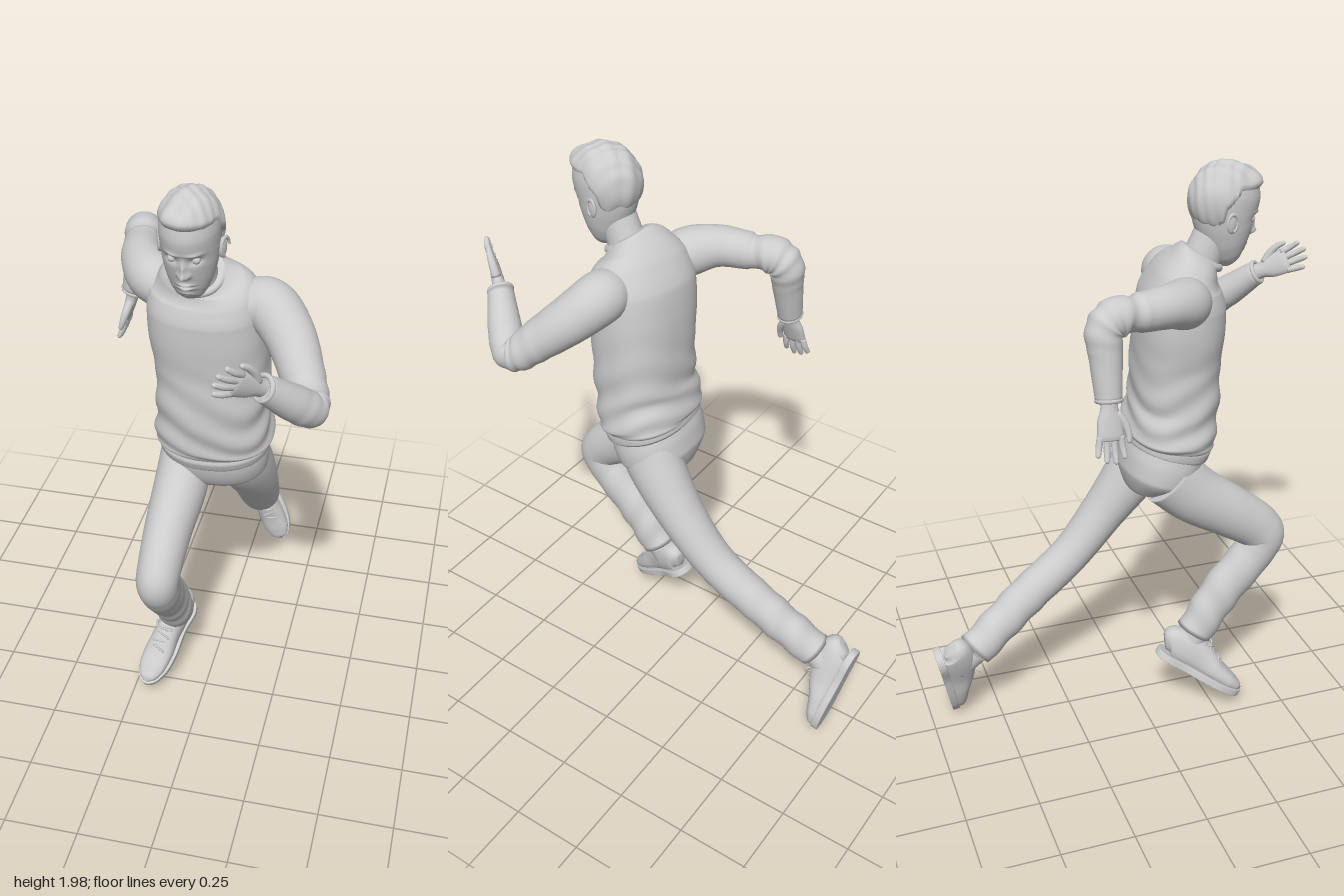
import * as THREE from 'three';

const material = new THREE.MeshStandardMaterial({ color: 0xcccccc, roughness: 0.8 });
const V = (a) => new THREE.Vector3(...a);

function mesh(name, geometry, parent) {
  const m = new THREE.Mesh(geometry, material);
  m.name = name;
  parent.add(m);
  return m;
}

// Smooth skin over elliptical sections; a row is [x, y, z, halfWidth, halfDepth].
// side gives the width direction, sideEnd its value at the far end,
// fold(u, angle) adds cloth ripples and power < 1 squares the section.
function loft(rows, { side = [1, 0, 0], sideEnd = side, steps = 40, segs = 32, power = 1, fold = () => 0 } = {}) {
  const path = new THREE.CatmullRomCurve3(rows.map((r) => V(r.slice(0, 3))));
  const size = new THREE.CatmullRomCurve3(rows.map((r) => new THREE.Vector3(r[3], r[4] ?? r[3], 0)));
  const pos = [], index = [];
  const round = (v) => Math.sign(v) * Math.abs(v) ** power;
  for (let i = 0; i <= steps; i++) {
    const u = i / steps, c = path.getPoint(u), r = size.getPoint(u), t = path.getTangent(u);
    const s = V(side).lerp(V(sideEnd), u);
    s.addScaledVector(t, -s.dot(t)).normalize();
    const f = s.clone().cross(t);
    for (let j = 0; j < segs; j++) {
      const a = (j / segs) * Math.PI * 2, k = fold(u, a);
      const p = c.clone().addScaledVector(s, (r.x + k) * round(Math.cos(a))).addScaledVector(f, (r.y + k) * round(Math.sin(a)));
      pos.push(p.x, p.y, p.z);
      if (i < steps) {
        const A = i * segs + j, B = i * segs + ((j + 1) % segs);
        index.push(A, A + segs, B, B, A + segs, B + segs);
      }
    }
  }
  const first = pos.length / 3, last = steps * segs;
  pos.push(...rows[0].slice(0, 3), ...rows[rows.length - 1].slice(0, 3));
  for (let j = 0; j < segs; j++) {
    const n = (j + 1) % segs;
    index.push(first, j, n, first + 1, last + n, last + j);
  }
  const g = new THREE.BufferGeometry();
  g.setAttribute('position', new THREE.Float32BufferAttribute(pos, 3));
  g.setIndex(index);
  g.computeVertexNormals();
  return g;
}

// Moves every vertex by a rule and refreshes the normals
function deform(g, rule) {
  const p = g.attributes.position, v = new THREE.Vector3();
  for (let i = 0; i < p.count; i++) {
    rule(v.fromBufferAttribute(p, i));
    p.setXYZ(i, v.x, v.y, v.z);
  }
  g.computeVertexNormals();
  return g;
}

// Puts a group at a point with its +z along main and its +y near hint
function place(group, at, main, hint) {
  const z = V(main).normalize(), x = V(hint).cross(z).normalize();
  group.quaternion.setFromRotationMatrix(new THREE.Matrix4().makeBasis(x, z.clone().cross(x), z));
  group.position.set(...at);
}

// Hand: fingers along +z, thumb on +y
function makeHand(name) {
  const hand = new THREE.Group();
  hand.name = name;
  const opt = { side: [0, 1, 0], steps: 16, segs: 14 };
  mesh('palm', loft([[0, 0, -0.05, 0.03, 0.026], [0, 0, 0, 0.028, 0.022], [0, 0, 0.04, 0.04, 0.019],
    [0, 0, 0.09, 0.043, 0.015], [0, 0, 0.105, 0.036, 0.01]], opt), hand);
  [0.075, 0.09, 0.085, 0.065].forEach((len, i) => {
    const y = 0.033 - 0.022 * i, z = 0.09;
    mesh('finger', loft([[0, y, z, 0.011], [0.004, y * 1.15, z + len * 0.5, 0.0105],
      [0, y * 1.3, z + len * 0.93, 0.008], [0, y * 1.32, z + len, 0.002]], opt), hand);
  });
  mesh('thumb', loft([[0, 0.02, 0.02, 0.016], [0, 0.045, 0.05, 0.014], [0, 0.058, 0.085, 0.011],
    [0, 0.06, 0.112, 0.008], [0, 0.06, 0.118, 0.002]], opt), hand);
  return hand;
}

// Laced shoe: toe along +z, sole on y = 0
function makeShoe(name) {
  const shoe = new THREE.Group();
  shoe.name = name;
  const half = [[0.03, -0.13], [0.046, -0.1], [0.044, -0.02], [0.054, 0.07], [0.052, 0.14], [0.03, 0.195]];
  const outline = [[0, -0.14], ...half, [0, 0.212], ...half.map(([x, z]) => [-x, z]).reverse()];
  const curve = new THREE.CatmullRomCurve3(outline.map(([x, z]) => new THREE.Vector3(x, z, 0)), true);
  const shape = new THREE.Shape(curve.getPoints(60).slice(0, -1).map((p) => new THREE.Vector2(p.x, p.y)));
  const sole = new THREE.ExtrudeGeometry(shape, { depth: 0.02, bevelEnabled: true, bevelSize: 0.003, bevelThickness: 0.003, bevelSegments: 2 });
  mesh('sole', sole.rotateX(Math.PI / 2).translate(0, 0.024, 0), shoe);
  mesh('upper', loft([[0, 0.055, -0.135, 0.02, 0.03], [0, 0.07, -0.115, 0.042, 0.056], [0, 0.074, -0.06, 0.047, 0.064],
    [0, 0.065, 0.02, 0.046, 0.054], [0, 0.05, 0.09, 0.052, 0.037], [0, 0.04, 0.15, 0.048, 0.028],
    [0, 0.033, 0.19, 0.031, 0.019], [0, 0.03, 0.207, 0.008, 0.006]], { power: 0.85 }), shoe);
  for (let i = 0; i < 4; i++) {
    const z = 0.015 + i * 0.024, y = 0.121 - i * 0.0105, d = i % 2 ? 0.008 : -0.008;
    const lace = new THREE.CatmullRomCurve3([V([-0.036, y - 0.025, z - d]), V([-0.018, y, z - d / 2]), V([0.018, y, z + d / 2]), V([0.036, y - 0.025, z + d])]);
    mesh('lace', new THREE.TubeGeometry(lace, 12, 0.004, 6), shoe);
  }
  for (const s of [-1, 1]) {
    const bow = mesh('laceLoop', new THREE.TorusGeometry(0.014, 0.003, 6, 16), shoe);
    bow.position.set(s * 0.018, 0.124, 0.012);
    bow.rotation.set(1.2, s * 0.5, 0);
    bow.scale.x = 1.4;
  }
  return shoe;
}

function makeHead() {
  const head = new THREE.Group();
  head.name = 'head';
  const skull = loft([[0, -0.162, 0.068, 0.012, 0.012], [0, -0.155, 0.06, 0.036, 0.035], [0, -0.135, 0.045, 0.054, 0.058],
    [0, -0.1, 0.028, 0.07, 0.077], [0, -0.05, 0.012, 0.082, 0.096], [0, 0, 0, 0.088, 0.109], [0, 0.05, -0.003, 0.09, 0.113],
    [0, 0.1, -0.006, 0.082, 0.1], [0, 0.135, -0.01, 0.055, 0.07], [0, 0.148, -0.01, 0.01, 0.01]], { steps: 90, segs: 96 });
  // Face relief as soft pushes: x, y, spread x, spread y, depth
  const relief = [[0, -0.052, 0.011, 0.012, 0.024], [0, -0.028, 0.008, 0.02, 0.014], [0.013, -0.056, 0.007, 0.007, 0.01],
    [-0.013, -0.056, 0.007, 0.007, 0.01], [0.036, -0.006, 0.017, 0.011, -0.012], [-0.036, -0.006, 0.017, 0.011, -0.012],
    [0.035, 0.018, 0.022, 0.006, 0.005], [-0.035, 0.018, 0.022, 0.006, 0.005], [0, -0.093, 0.02, 0.005, 0.009],
    [0, -0.109, 0.018, 0.005, 0.009], [0, -0.101, 0.024, 0.003, -0.004], [0, -0.14, 0.02, 0.012, 0.006]];
  mesh('face', deform(skull, (v) => {
    if (v.z < 0.03) return;
    const { x, y } = v;
    for (const [cx, cy, sx, sy, d] of relief) v.z += d * Math.exp(-(((x - cx) / sx) ** 2) - ((y - cy) / sy) ** 2);
  }), head);
  // Hair shell: sinks into the skull below the hairline, ripples along the swept strands
  mesh('hair', deform(new THREE.SphereGeometry(1, 80, 60), (v) => {
    const { x, y, z } = v;
    const hairline = z > 0.1 ? 0.34 + 0.12 * z : z > -0.2 ? -0.2 + (z + 0.2) * 1.5 : -0.75;
    const cover = THREE.MathUtils.smoothstep(y, hairline - 0.08, hairline + 0.14);
    const strand = 0.018 * Math.sin(9 * x + 7 * z + 3 * y) + 0.012 * Math.sin(17 * z - 11 * x + 8 * y);
    const quiff = 0.12 * Math.exp(-(((z - 0.75) / 0.35) ** 2) - ((y - 0.65) / 0.3) ** 2);
    v.multiplyScalar(0.84 + cover * (0.17 + strand + quiff));
    v.set(v.x * 0.099, v.y * 0.122 + 0.04, v.z * 0.121 - 0.006);
  }), head);
  for (const s of [-1, 1]) {
    mesh('eye', new THREE.SphereGeometry(0.013, 20, 14).translate(s * 0.036, -0.006, 0.084), head);
    const ear = mesh('ear', new THREE.SphereGeometry(1, 20, 16), head);
    ear.scale.set(0.009, 0.033, 0.02);
    ear.position.set(s * 0.092, -0.02, -0.005);
    ear.rotation.set(-0.2, s * -0.35, 0);
    const rim = mesh('earRim', new THREE.TorusGeometry(0.021, 0.005, 8, 24, 4.6), head);
    rim.position.set(s * 0.099, -0.018, -0.007);
    rim.rotation.set(-0.2, Math.PI / 2 - s * 0.35, 0);
    rim.scale.y = 1.35;
  }
  head.position.set(-0.018, 1.845, 0.3);
  head.rotation.x = 0.2;
  return head;
}

export function createModel() {
  const runner = new THREE.Group();
  runner.name = 'runner';

  // Sweater, hem and collar, with the shoulders turned against the hips
  const twist = { side: [1, 0, -0.05], sideEnd: [1, 0, 0.3] };
  mesh('sweater', loft([[0.01, 1.055, 0.12, 0.178, 0.138], [0.01, 1.09, 0.126, 0.197, 0.153], [0.01, 1.2, 0.145, 0.184, 0.147],
    [0.01, 1.35, 0.15, 0.184, 0.146], [0, 1.48, 0.158, 0.192, 0.148], [-0.005, 1.57, 0.165, 0.19, 0.143],
    [-0.01, 1.64, 0.18, 0.172, 0.115], [-0.015, 1.685, 0.2, 0.128, 0.085], [-0.015, 1.715, 0.22, 0.072, 0.068]],
  { ...twist, steps: 80, segs: 72, power: 0.85,
    fold: (u, a) => 0.005 * Math.exp(-(((u - 0.22) / 0.14) ** 2)) * Math.sin(u * 60 + 3 * Math.sin(a * 2)) }), runner);
  mesh('sweaterHem', loft([[0.01, 1.03, 0.112, 0.174, 0.136], [0.01, 1.04, 0.115, 0.184, 0.145], [0.01, 1.065, 0.122, 0.187, 0.148],
    [0.01, 1.085, 0.128, 0.18, 0.14]], { ...twist, sideEnd: twist.side, segs: 64, power: 0.88, steps: 16 }), runner);
  const collar = mesh('collar', new THREE.TorusGeometry(0.07, 0.013, 12, 48), runner);
  collar.position.set(-0.015, 1.695, 0.222);
  collar.rotation.x = Math.PI / 2 + 0.5;
  mesh('neck', loft([[-0.012, 1.64, 0.2, 0.07], [-0.015, 1.71, 0.235, 0.06, 0.064], [-0.018, 1.8, 0.275, 0.058, 0.062]]), runner);
  runner.add(makeHead());

  // Sleeves, cuffs and hands: left swings forward, right swings back
  const crease = (at) => (u, a) => 0.003 * Math.exp(-(((u - at) / 0.16) ** 2)) * Math.sin(u * 75 + 2 * Math.sin(a));
  const arms = {
    left: { side: [-0.61, -0.6, 0.11], dir: [-0.12, 0.1, 0.15], thumb: [0.3, 1, 0],
      rows: [[0.11, 1.59, 0.19, 0.07], [0.19, 1.595, 0.185, 0.086], [0.265, 1.54, 0.24, 0.08], [0.325, 1.46, 0.33, 0.069],
        [0.36, 1.405, 0.395, 0.06], [0.365, 1.4, 0.425, 0.058], [0.325, 1.445, 0.475, 0.056], [0.25, 1.53, 0.55, 0.042]] },
    right: { side: [1, 0, 0], dir: [-0.06, -0.2, -0.01], thumb: [0, 0, 1],
      rows: [[-0.11, 1.59, 0.15, 0.07], [-0.19, 1.61, 0.105, 0.082], [-0.245, 1.628, 0.03, 0.07], [-0.275, 1.63, -0.08, 0.062],
        [-0.295, 1.63, -0.165, 0.062], [-0.305, 1.6, -0.198, 0.06], [-0.322, 1.52, -0.2, 0.052], [-0.35, 1.39, -0.2, 0.042]] },
  };
  for (const [name, { side, dir, thumb, rows }] of Object.entries(arms)) {
    mesh(name + 'Sleeve', loft(rows, { side, steps: 70, segs: 36, fold: crease(0.62) }), runner);
    const end = rows[rows.length - 1].slice(0, 3);
    const cuff = mesh(name + 'Cuff', new THREE.TorusGeometry(0.037, 0.008, 10, 32), runner);
    place(cuff, end, dir, thumb);
    const hand = makeHand(name + 'Hand');
    place(hand, V(end).addScaledVector(V(dir).normalize(), 0.02).toArray(), dir, thumb);
    runner.add(hand);
  }

  // Trousers: hips and two legs, left pushing off behind, right knee lifted in front
  mesh('trouserHips', loft([[0.005, 1.08, 0.122, 0.17, 0.13], [0.005, 1.0, 0.1, 0.182, 0.137], [0.005, 0.945, 0.082, 0.178, 0.13],
    [0.005, 0.89, 0.07, 0.12, 0.095], [0.005, 0.865, 0.07, 0.04, 0.04]], { segs: 56, power: 0.9 }), runner);
  const legs = {
    left: { rows: [[0.09, 1.0, 0.095, 0.09, 0.11], [0.098, 0.9, 0.035, 0.094, 0.1], [0.108, 0.75, -0.075, 0.083, 0.079],
      [0.1, 0.6, -0.205, 0.072, 0.07], [0.075, 0.47, -0.38, 0.068, 0.071], [0.028, 0.315, -0.585, 0.064, 0.067]],
    sock: [0.028, 0.25, -0.655], shoe: [0.04, 0.225, -0.71], toe: [0.13, -0.33, 0.07], up: [0, 0.2, 0.98] },
    right: { rows: [[-0.09, 0.96, 0.1, 0.09, 0.11], [-0.095, 0.875, 0.19, 0.09, 0.104], [-0.105, 0.79, 0.32, 0.08, 0.094],
      [-0.108, 0.715, 0.425, 0.073, 0.085], [-0.11, 0.675, 0.453, 0.071, 0.08], [-0.11, 0.615, 0.425, 0.068, 0.077],
      [-0.115, 0.47, 0.298, 0.064, 0.076], [-0.12, 0.32, 0.195, 0.062, 0.067]],
    sock: [-0.135, 0.23, 0.16], shoe: [-0.145, 0.175, 0.165], toe: [-0.1, -0.19, 0.29], up: [0, 0.81, 0.53] },
  };
  for (const [name, { rows, sock, shoe: at, toe, up }] of Object.entries(legs)) {
    mesh(name + 'TrouserLeg', loft(rows, { steps: 80, segs: 40, fold: crease(0.92) }), runner);
    const ankle = rows[rows.length - 1].slice(0, 3);
    mesh(name + 'Sock', loft([[...ankle, 0.05], [...sock, 0.042]], { steps: 8, segs: 24 }), runner);
    const shoe = makeShoe(name + 'Shoe');
    place(shoe, at, toe, up);
    runner.add(shoe);
  }
  return runner;
}
